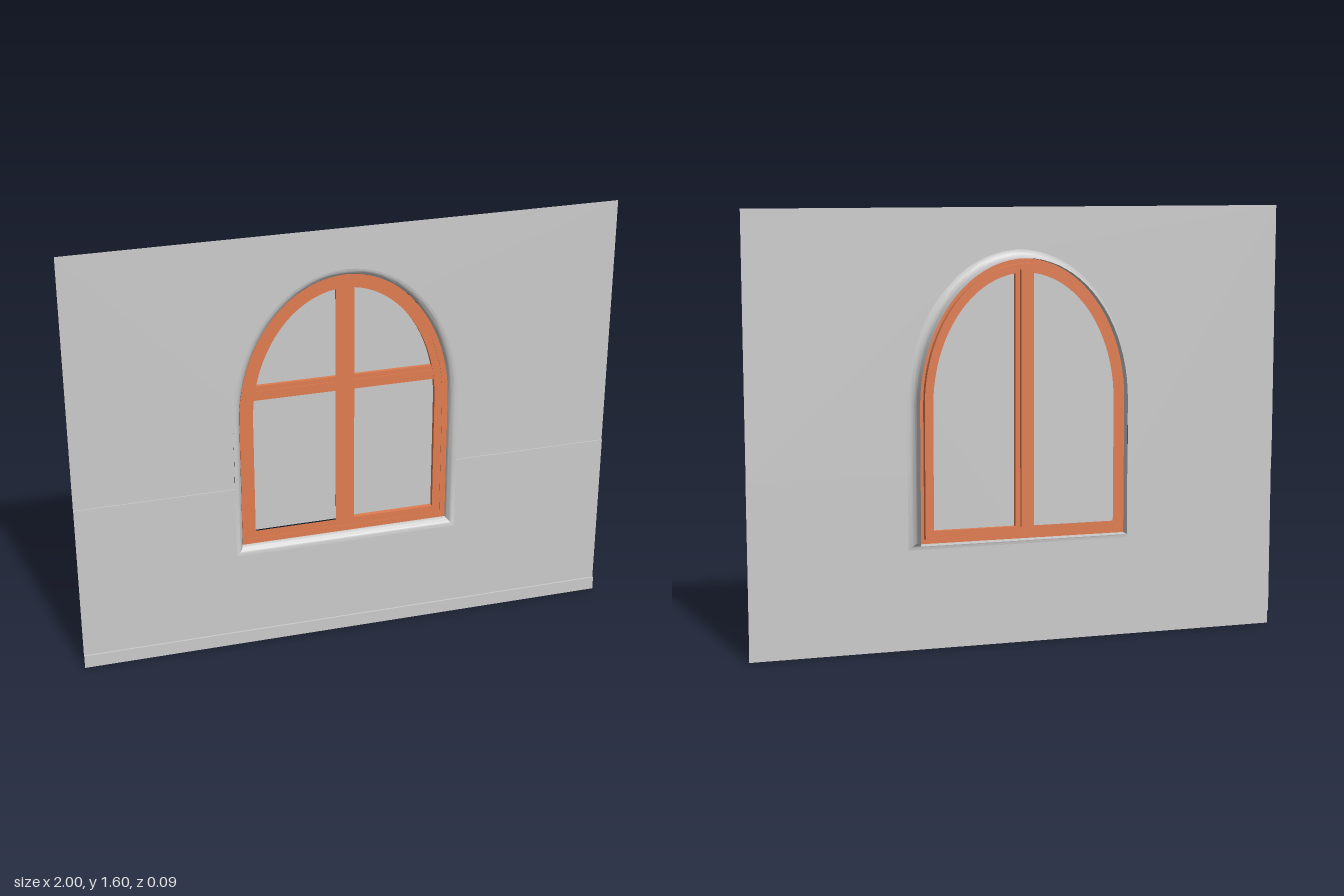
import * as THREE from 'three';
import { toCreasedNormals } from 'three/addons/utils/BufferGeometryUtils.js';

const HALF = 0.39, SILL = 0.4, SPRING = 0.9, RISE = 0.52; // arched opening
const SEAM = 0.65, BASE = 0.05;                           // wall panel joints
const Z_UP = 0.033, Z_LOW = 0.037, Z_BASE = 0.044, Z_BACK = -0.044;

const V = (x, y) => new THREE.Vector2(x, y);

// Elliptical arch grown outward by d, running from angle a0 to a1
function arch(d, a0, a1, n) {
  const pts = [];
  for (let i = 0; i <= n; i++) {
    const a = a0 + (a1 - a0) * i / n;
    pts.push(V((HALF + d) * Math.cos(a), SPRING + (RISE + d) * Math.sin(a)));
  }
  return pts;
}

// Full outline of the opening, grown outward by d
function outline(d) {
  const w = HALF + d, b = SILL - d;
  return [V(-w, b), V(w, b), V(w, SEAM), ...arch(d, 0, Math.PI, 40), V(-w, SEAM)];
}

// One half of the opening, cut off at x = x0
function halfOutline(d, x0, side) {
  const w = HALF + d, b = SILL - d;
  const pts = [V(x0, b), V(w, b), ...arch(d, 0, Math.acos(x0 / w), 20)];
  return pts.map(p => V(p.x * side, p.y));
}

export function createModel() {
  const model = new THREE.Group();
  const grey = new THREE.MeshStandardMaterial({ color: 0xcccccc, side: THREE.DoubleSide });
  const wood = new THREE.MeshStandardMaterial({ color: 0xe07c50 });

  function add(name, geometry, material, parent = model) {
    const mesh = new THREE.Mesh(geometry, material);
    mesh.name = name;
    parent.add(mesh);
    return mesh;
  }
  const flat = (pts, z) => new THREE.ShapeGeometry(new THREE.Shape(pts)).translate(0, 0, z);
  function slab(outer, inner, z0, z1) {
    const shape = new THREE.Shape(outer);
    shape.holes.push(new THREE.Path(inner));
    const g = new THREE.ExtrudeGeometry(shape, { depth: z1 - z0, bevelEnabled: false });
    return toCreasedNormals(g.translate(0, 0, z0), 0.6);
  }
  function bar(name, x0, x1, y0, y1, z0, z1, parent) {
    const g = new THREE.BoxGeometry(x1 - x0, y1 - y0, z1 - z0);
    g.translate((x0 + x1) / 2, (y0 + y1) / 2, (z0 + z1) / 2);
    return add(name, g, wood, parent);
  }

  // Thin wall in three panels, each standing slightly proud of the one above
  const flare = 0.028, w = HALF + flare, b = SILL - flare;
  const wall = new THREE.Group();
  wall.name = 'wall';
  model.add(wall);
  add('upperWall', flat([
    V(1, SEAM), V(1, 1.6), V(-1, 1.6), V(-1, SEAM), V(-w, SEAM),
    ...arch(flare, 0, Math.PI, 40).reverse(), V(w, SEAM),
  ], Z_UP), grey, wall);
  add('lowerWall', flat([
    V(-1, BASE), V(1, BASE), V(1, SEAM), V(w, SEAM), V(w, b), V(-w, b), V(-w, SEAM), V(-1, SEAM),
  ], Z_LOW), grey, wall);
  add('baseStrip', flat([V(-1, 0), V(1, 0), V(1, BASE), V(-1, BASE)], Z_BASE), grey, wall);

  // Narrow ledges at the panel joints
  function ledge(x0, x1, y, z0, z1) {
    const g = new THREE.PlaneGeometry(x1 - x0, z1 - z0).rotateX(-Math.PI / 2);
    add('wallLedge', g.translate((x0 + x1) / 2, y, (z0 + z1) / 2), grey, wall);
  }
  ledge(-1, 1, BASE, Z_LOW, Z_BASE);
  ledge(-1, -w, SEAM, Z_UP, Z_LOW);
  ledge(w, 1, SEAM, Z_UP, Z_LOW);

  // Reveal: rounded lip curving from the wall into a straight tunnel
  const rings = [];
  for (let i = 0; i <= 6; i++) {
    const a = i / 6 * Math.PI / 2;
    rings.push([flare * (1 - Math.sin(a)), 1 - Math.cos(a)]);
  }
  const pos = [], index = [];
  const count = outline(0).length;
  for (const [d, t] of rings) {
    for (const p of outline(d)) {
      const zFront = p.y <= SEAM ? Z_LOW : Z_UP;
      pos.push(p.x, p.y, zFront + (0.005 - zFront) * t);
    }
  }
  for (const p of outline(0)) pos.push(p.x, p.y, Z_BACK + 0.004);
  for (let r = 0; r < rings.length; r++) {
    for (let i = 0; i < count; i++) {
      const j = (i + 1) % count;
      const a = r * count + i, c = r * count + j;
      index.push(a, c, a + count, c, c + count, a + count);
    }
  }
  const reveal = new THREE.BufferGeometry();
  reveal.setAttribute('position', new THREE.Float32BufferAttribute(pos, 3));
  reveal.setIndex(index);
  add('windowReveal', toCreasedNormals(reveal, 0.7), grey);

  // Outer frame, fixed in the reveal
  const frame = new THREE.Group();
  frame.name = 'windowFrame';
  model.add(frame);
  add('outerFrame', slab(outline(-0.001), outline(-0.022), -0.004, 0.008), wood, frame);

  // Two sashes, each with a pane and a crossbar on the front
  for (const side of [1, -1]) {
    const sash = new THREE.Group();
    sash.name = side > 0 ? 'leftSash' : 'rightSash';
    frame.add(sash);
    add('sashFrame', slab(halfOutline(-0.02, 0, side), halfOutline(-0.051, 0.035, side), -0.028, 0.006), wood, sash);
    add('pane', flat(halfOutline(-0.045, 0.03, side), -0.012), grey, sash);
    const xs = [0.03 * side, 0.335 * side].sort((p, q) => p - q);
    bar('crossbar', xs[0], xs[1], 0.975, 1.03, -0.011, 0.003, sash);
    bar('crossbarBead', xs[0], xs[1], 0.992, 1.012, 0, 0.006, sash);
  }

  // Cover strip over the joint between the sashes, on the back
  bar('meetingStrip', -0.017, 0.017, 0.45, 1.38, Z_BACK, -0.02, frame);

  return model;
}
